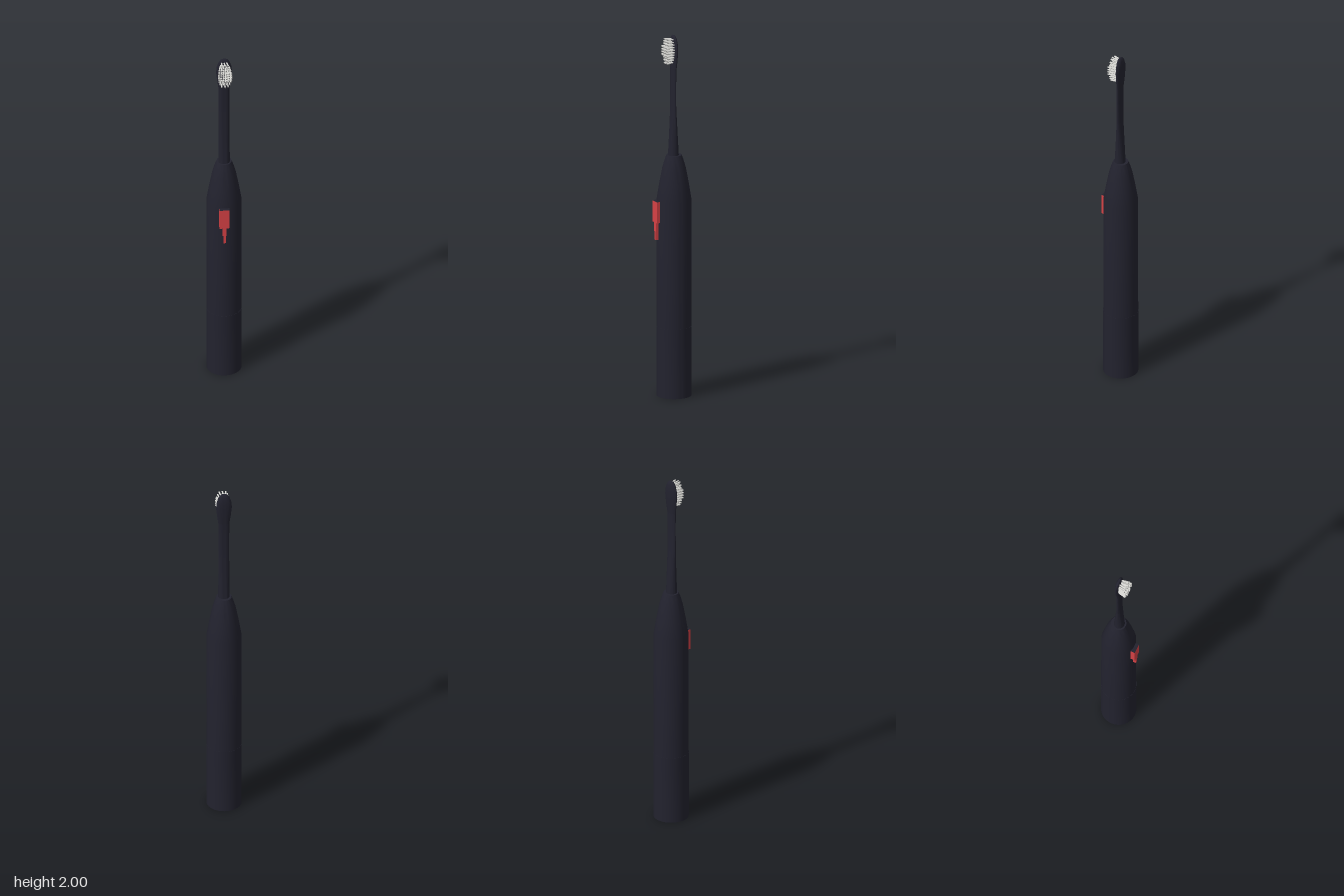
import * as THREE from 'three';
import { toCreasedNormals } from 'three/addons/utils/BufferGeometryUtils.js';

const material = (name, color, side = THREE.FrontSide) => {
  const m = new THREE.MeshStandardMaterial({ color, side });
  m.name = name;
  return m;
};

export function createModel() {
  const model = new THREE.Group();
  model.name = 'electricToothbrush';
  const navy = material('dark navy', 0x22222e);
  const red = material('red', 0xd84246);
  const white = material('bristle white', 0xdadad6);
  const grey = material('bristle tip grey', 0x8c8c8a);

  const add = (name, geometry, mat, parent = model) => {
    const mesh = new THREE.Mesh(geometry, mat);
    mesh.name = name;
    parent.add(mesh);
    return mesh;
  };

  // Oval cross-sections stacked along y: [y, half width, half depth, centre z]
  const loft = (sections, sides = 40) => {
    const geo = new THREE.LatheGeometry(sections.map(([y, rx]) => new THREE.Vector2(rx, y)), sides);
    const pos = geo.attributes.position;
    for (let i = 0; i < pos.count; i++) {
      const [, rx, rz, zc] = sections[i % sections.length];
      pos.setZ(i, (rx > 0 ? pos.getZ(i) * rz / rx : 0) + zc);
    }
    geo.deleteAttribute('normal');
    return toCreasedNormals(geo, 0.6);
  };
  const round = (pairs) => loft(pairs.map(([y, r]) => [y, r, r, -0.01]), 48);

  // Handle: base cap, grip and tapered shoulder
  add('baseCap', round([[0, 0], [0, 0.095], [0.385, 0.095], [0.385, 0]]), navy);
  add('handle', round([[0.385, 0.094], [1.09, 0.0935], [1.18, 0.079], [1.265, 0.063],
    [1.31, 0.05], [1.335, 0.041], [1.335, 0]]), navy);

  // Neck flattening from the collar up into the oval brush head
  add('neck', loft([[1.33, 0.031, 0.029, -0.006], [1.45, 0.03, 0.021, -0.006],
    [1.6, 0.029, 0.011, -0.005], [1.72, 0.029, 0.01, -0.005], [1.81, 0.03, 0.011, -0.006]]), navy);
  add('head', loft([[1.81, 0.03, 0.011, -0.006], [1.86, 0.037, 0.013, -0.008],
    [1.915, 0.043, 0.014, -0.009], [1.95, 0.04, 0.014, -0.009], [1.98, 0.03, 0.012, -0.008],
    [1.995, 0.019, 0.008, -0.007], [2, 0.01, 0.004, -0.007], [2, 0, 0, -0.007]]), navy);

  // Bristle tufts fanning slightly outward, longest in the middle
  const bristles = new THREE.Group();
  bristles.name = 'bristles';
  model.add(bristles);
  const rows = 10;
  for (let r = 0; r < rows; r++) {
    const v = (r / (rows - 1)) * 2 - 1;
    const y = 1.916 + v * 0.063;
    const count = Math.abs(v) > 0.9 ? 3 : Math.abs(v) > 0.6 ? 4 : 6;
    const spread = 0.031 * Math.sqrt(1 - 0.75 * v * v);
    for (let i = 0; i < count; i++) {
      const x = spread * ((i / (count - 1)) * 2 - 1);
      const start = new THREE.Vector3(x * 0.85, y, -0.001);
      const end = new THREE.Vector3(x * 1.15, y + v * 0.004,
        (Math.abs(v) < 0.4 ? 0.053 : 0.044) - Math.abs(x) * 0.15 + (i % 2) * 0.002);
      const length = start.distanceTo(end);
      const tuft = add('tuft', new THREE.CylinderGeometry(0.0042, 0.0042, length, 7), [white, grey, grey], bristles);
      tuft.position.copy(start).lerp(end, 0.5);
      tuft.quaternion.setFromUnitVectors(new THREE.Vector3(0, 1, 0), end.clone().sub(start).normalize());
    }
  }

  // Power slider: wide plate stepping down to a narrow tail
  const slider = new THREE.Group();
  slider.name = 'slider';
  model.add(slider);
  const block = (name, x0, x1, y0, y1, z1, mat = red) => {
    const z0 = 0.07;
    add(name, new THREE.BoxGeometry(x1 - x0, y1 - y0, z1 - z0), mat, slider)
      .position.set((x0 + x1) / 2, (y0 + y1) / 2, (z0 + z1) / 2);
  };
  block('sliderPlate', -0.037, 0.017, 0.97, 1.087, 0.102, [red, red, navy, red, red, red]);
  block('sliderStem', -0.02, 0.001, 0.92, 0.97, 0.1);
  block('sliderTail', -0.015, -0.002, 0.872, 0.92, 0.099);

  return model;
}
